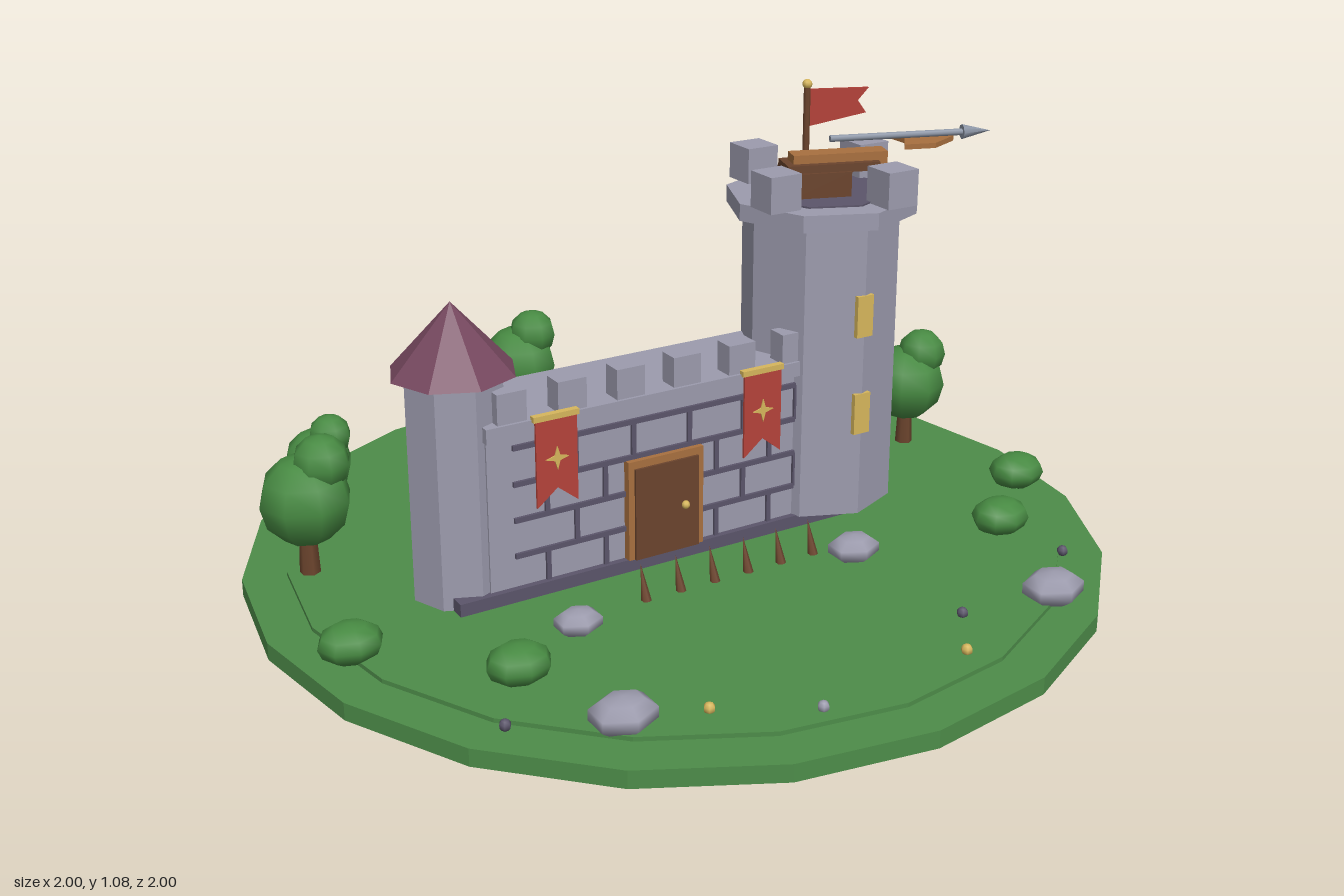
import * as THREE from 'three';

const mat = (name, color) => {
  const m = new THREE.MeshStandardMaterial({ color });
  m.name = name;
  return m;
};

export function createModel() {
  const root = new THREE.Group();
  root.name = 'castleDiorama';
  const grass = mat('grass', 0x4d8c49), leaf = mat('foliage', 0x478a42);
  const stone = mat('stone', 0x9c9bad), dark = mat('darkStone', 0x5b556a);
  const roof = mat('roofPurple', 0x76485f), gold = mat('gold', 0xd6b65c);
  const red = mat('bannerRed', 0xb5433a), wood = mat('darkWood', 0x6b442d);
  const tan = mat('lightWood', 0xa8703f), steel = mat('steel', 0x8d96a6);
  red.side = gold.side = THREE.DoubleSide;

  const add = (name, geo, m, x = 0, y = 0, z = 0, parent = root) => {
    const mesh = new THREE.Mesh(geo, m);
    mesh.name = name;
    mesh.position.set(x, y, z);
    parent.add(mesh);
    return mesh;
  };
  const group = (name, x, y, z, parent = root) => {
    const g = new THREE.Group();
    g.name = name;
    g.position.set(x, y, z);
    parent.add(g);
    return g;
  };
  // faceted geometry keeps one normal per face
  const facet = (g) => {
    const f = g.toNonIndexed();
    f.computeVertexNormals();
    return f;
  };
  const box = (w, h, d) => new THREE.BoxGeometry(w, h, d);
  const prism = (r, y0, y1, n = 8, rTop = r) =>
    facet(new THREE.CylinderGeometry(rTop, r, y1 - y0, n).translate(0, (y0 + y1) / 2, 0));
  const plate = (pts, depth) => new THREE.ExtrudeGeometry(
    new THREE.Shape(pts.map(([x, y]) => new THREE.Vector2(x, y))), { depth, bevelEnabled: false });

  // ground discs
  add('groundBase', prism(1, 0, 0.04, 20), grass);
  add('groundTop', prism(0.9, 0.04, 0.05, 20), grass);

  // curtain wall with plinth, coping and battlements
  const wall = group('curtainWall', 0, 0, 0);
  add('plinth', box(1.06, 0.03, 0.25), dark, -0.08, 0.065, 0, wall);
  add('wallBody', box(0.8, 0.36, 0.22), stone, -0.13, 0.26, 0, wall);
  add('coping', box(0.8, 0.035, 0.25), stone, -0.135, 0.4525, 0, wall);
  for (let i = 0; i < 6; i++)
    add('wallMerlon', box(0.07, 0.07, 0.05), stone, -0.47 + i * 0.145, 0.505, 0.093, wall);

  // mortar joints, staggered from row to row
  for (let r = 0; r < 5; r++) {
    const y = 0.07 + r * 0.085;
    if (r) add('mortarRow', box(0.73, 0.012, 0.008), dark, -0.105, y, 0.113, wall);
    if (r < 4) for (let i = 0; i < 5; i++)
      add('mortarJoint', box(0.011, 0.085, 0.008), dark,
        -0.39 + i * 0.145 + (r % 2) * 0.0725, y + 0.0425, 0.113, wall);
  }

  // door
  const door = group('door', -0.0975, 0.08, 0.12);
  add('doorFrame', box(0.195, 0.24, 0.02), tan, 0, 0.12, 0, door);
  add('doorPanel', box(0.165, 0.222, 0.02), wood, 0, 0.111, 0.006, door);
  add('doorKnob', new THREE.SphereGeometry(0.01, 8, 6), gold, 0.045, 0.11, 0.02, door);

  // swallow-tailed banners with a four-pointed star
  const star = Array.from({ length: 8 }, (_, i) => {
    const r = i % 2 ? 0.009 : 0.028, a = i * Math.PI / 4;
    return [Math.sin(a) * r, Math.cos(a) * r];
  });
  for (const x of [-0.373, 0.158]) {
    const b = group('banner', x, 0.47, 0.127);
    add('bannerCloth', plate([[-0.05, 0], [-0.05, -0.205], [0, -0.165], [0.05, -0.205], [0.05, 0]], 0.006), red, 0, 0, 0, b);
    add('bannerRod', box(0.11, 0.013, 0.016), gold, 0, 0.002, 0, b);
    add('bannerStar', plate(star, 0.003), gold, 0, -0.095, 0.006, b);
  }

  // small turret
  const turret = group('turret', -0.55, 0, 0);
  add('turretBody', prism(0.113, 0.05, 0.57), stone, 0, 0, 0, turret);
  add('turretRoof', prism(0.142, 0.565, 0.722, 8, 0), roof, 0, 0, 0, turret);

  // keep tower
  const keep = group('keep', 0.4, 0, 0);
  add('keepBody', prism(0.186, 0.078, 0.8), stone, 0, 0, 0, keep);
  add('keepParapet', prism(0.225, 0.79, 0.83), stone, 0, 0, 0, keep);
  add('keepFloor', prism(0.162, 0.825, 0.834), dark, 0, 0, 0, keep);
  for (let i = 0; i < 4; i++) {
    const a = Math.PI / 8 + i * Math.PI / 2;
    add('keepMerlon', box(0.082, 0.085, 0.082), stone, Math.sin(a) * 0.19, 0.872, Math.cos(a) * 0.19, keep);
  }
  for (const y of [0.335, 0.575])
    add('window', box(0.044, 0.1, 0.014), gold, 0, y, 0.182, keep);

  // flag
  const flag = group('flag', 0, 0.83, -0.065, keep);
  add('flagPole', new THREE.CylinderGeometry(0.008, 0.008, 0.235, 8), wood, 0, 0.1175, 0, flag);
  add('flagKnob', new THREE.SphereGeometry(0.012, 8, 6), gold, 0, 0.24, 0, flag);
  add('flagCloth', plate([[0.004, 0.14], [0.17, 0.154], [0.145, 0.186], [0.176, 0.214], [0.004, 0.228]], 0.006), red, 0, 0, -0.003, flag);

  // ballista on the keep
  const bal = group('ballista', 0, 0.83, 0.03, keep);
  bal.rotation.y = -0.325;
  add('ballistaBase', box(0.15, 0.062, 0.1), wood, -0.035, 0.031, 0, bal);
  add('ballistaFrame', box(0.22, 0.02, 0.085), wood, 0, 0.07, 0, bal);
  add('ballistaStock', box(0.225, 0.03, 0.05), tan, 0.02, 0.085, 0, bal);
  add('ballistaBow', plate([[0.16, -0.06], [0.235, -0.06], [0.3, 0], [0.235, 0.06], [0.16, 0.06], [0.18, 0]], 0.012)
    .rotateX(-Math.PI / 2), tan, 0, 0.11, 0, bal);
  add('boltShaft', new THREE.CylinderGeometry(0.008, 0.008, 0.35, 8).rotateZ(-Math.PI / 2), steel, 0.175, 0.13, 0, bal);
  add('boltTip', new THREE.ConeGeometry(0.018, 0.07, 8).rotateZ(-Math.PI / 2), steel, 0.355, 0.13, 0, bal);

  // stakes in front of the wall
  for (let i = 0; i < 6; i++)
    add('stake', new THREE.ConeGeometry(0.012, 0.085, 6), wood, -0.228 + i * 0.089, 0.088, 0.25).rotation.x = -0.3;

  // trees: x, z, scale
  for (const [x, z, s] of [[0, -0.81, 0.95], [-0.68, -0.52, 0.78], [-0.81, -0.25, 1], [0.74, -0.49, 0.85], [0.81, -0.165, 0.93]]) {
    const t = group('tree', x, 0.05, z);
    t.scale.setScalar(s);
    add('trunk', new THREE.CylinderGeometry(0.018, 0.024, 0.13, 6), wood, 0, 0.065, 0, t);
    add('crown', new THREE.SphereGeometry(0.106, 8, 6), leaf, 0, 0.18, 0, t);
    add('crownTop', new THREE.SphereGeometry(0.066, 8, 6), leaf, 0.036, 0.267, 0.018, t);
  }

  // bushes and rocks
  for (const [x, z] of [[-0.875, 0.16], [-0.615, 0.415], [0.675, 0.38], [0.885, 0.195]])
    add('bush', new THREE.SphereGeometry(0.072, 8, 6).scale(1, 0.62, 0.85), leaf, x, 0.083, z);
  for (const [x, z, r] of [[-0.42, 0.305, 0.053], [0.29, 0.32, 0.06], [-0.52, 0.675, 0.07], [0.55, 0.705, 0.07]])
    add('rock', new THREE.SphereGeometry(r, 6, 5).rotateY(Math.PI / 6).scale(1.08, 0.55, 0.9), stone, x, 0.072, z);

  // pebbles and flowers
  for (const [x, z, m] of [[-0.725, 0.575, dark], [-0.355, 0.725, gold], [-0.16, 0.835, stone],
    [0.225, 0.805, gold], [0.32, 0.675, dark], [0.71, 0.56, dark]])
    add('pebble', new THREE.SphereGeometry(0.013, 6, 5), m, x, 0.058, z);

  return root;
}
